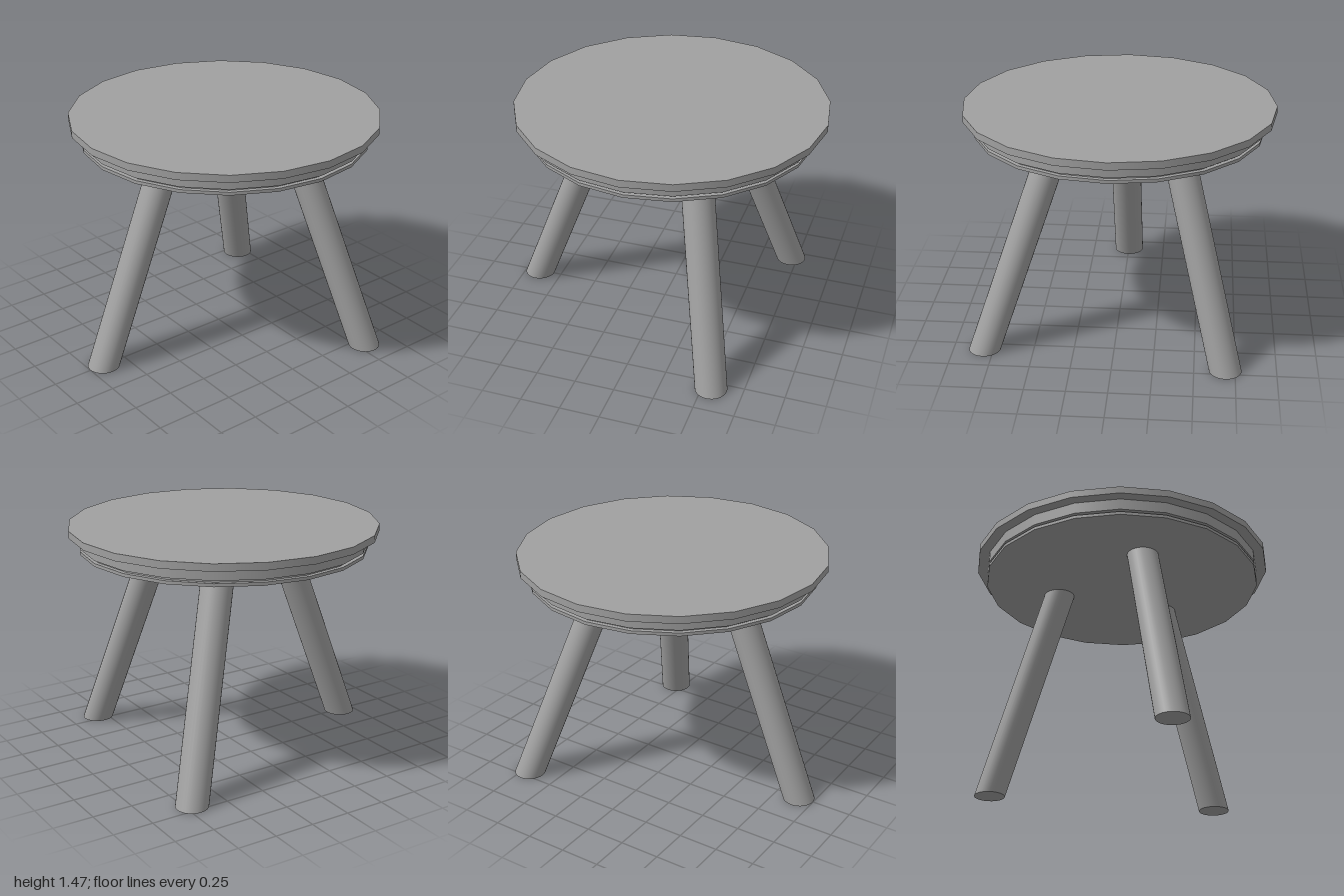
import * as THREE from 'three';

export function createModel() {
  const model = new THREE.Group();
  const grey = new THREE.MeshStandardMaterial({ color: 0xa0a0a0 });
  grey.name = 'grey';

  const SEAT_Z = -0.045;
  const UNDERSIDE = 1.313;

  function add(name, geometry) {
    const mesh = new THREE.Mesh(geometry, grey);
    mesh.name = name;
    model.add(mesh);
    return mesh;
  }

  // Seat: stacked twenty-sided discs with a narrow groove
  const discs = [
    ['seatTop', 0.956, 1.42, 1.465],
    ['seatBand', 0.89, 1.349, 1.42],
    ['seatGroove', 0.864, 1.333, 1.349],
    ['seatBase', 0.89, UNDERSIDE, 1.333],
  ];
  for (const [name, radius, y0, y1] of discs) {
    const disc = add(name, new THREE.CylinderGeometry(radius, radius, y1 - y0, 20));
    disc.position.set(0, (y0 + y1) / 2, SEAT_Z);
  }

  // Legs: round columns sheared outwards so both ends stay level
  function addLeg(name, foot, top) {
    const geometry = new THREE.CylinderGeometry(0.099, 0.099, UNDERSIDE, 32);
    geometry.translate(0, UNDERSIDE / 2, 0);
    const shear = new THREE.Matrix4().set(
      1, (top[0] - foot[0]) / UNDERSIDE, 0, foot[0],
      0, 1, 0, 0,
      0, (top[1] - foot[1]) / UNDERSIDE, 1, foot[1],
      0, 0, 0, 1
    );
    geometry.applyMatrix4(shear);
    add(name, geometry);
  }
  addLeg('frontLeg', [-0.003, 0.9], [0.003, 0.385]);
  addLeg('backLeftLeg', [0.805, -0.555], [0.358, -0.305]);
  addLeg('backRightLeg', [-0.69, -0.705], [-0.358, -0.305]);

  return model;
}
